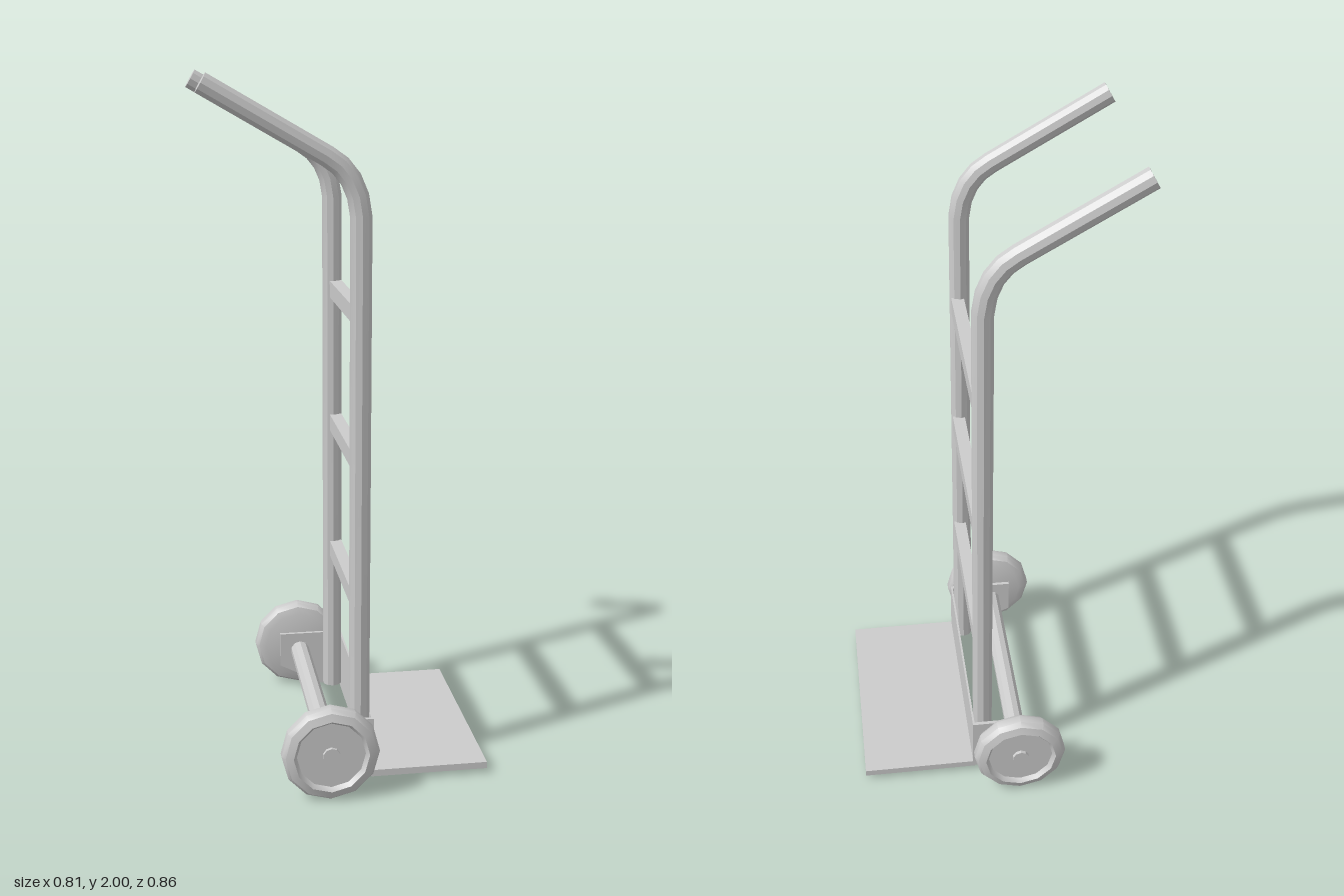
import * as THREE from 'three';
import { toCreasedNormals } from 'three/addons/utils/BufferGeometryUtils.js';

const mat = new THREE.MeshStandardMaterial({ color: 0xcccccc });

function add(parent, name, geometry, x = 0, y = 0, z = 0) {
  const mesh = new THREE.Mesh(toCreasedNormals(geometry, 0.6), mat);
  mesh.name = name;
  mesh.position.set(x, y, z);
  parent.add(mesh);
  return mesh;
}

// Extrude an outline in the xy plane, centred on z = 0
function plate(points, depth) {
  const shape = new THREE.Shape(points.map(([x, y]) => new THREE.Vector2(x, y)));
  return new THREE.ExtrudeGeometry(shape, { depth, bevelEnabled: false }).translate(0, 0, -depth / 2);
}

// Mitred, capped pipe along a bent path in the xy plane
function pipe(path, radius, sides) {
  const pts = path.map(([x, y]) => new THREE.Vector2(x, y));
  const pos = [], index = [];
  pts.forEach((p, i) => {
    const a = p.clone().sub(pts[Math.max(i - 1, 0)]).normalize();
    const b = pts[Math.min(i + 1, pts.length - 1)].clone().sub(p).normalize();
    const t = a.clone().add(b).normalize();
    const miter = 1 / Math.max(t.dot(a), t.dot(b));
    for (let k = 0; k < sides; k++) {
      const ang = (k / sides) * Math.PI * 2;
      const n = Math.sin(ang) * radius * miter;
      pos.push(p.x + t.y * n, p.y - t.x * n, Math.cos(ang) * radius);
    }
  });
  for (let i = 0; i < pts.length - 1; i++) {
    for (let k = 0; k < sides; k++) {
      const a = i * sides + k, b = i * sides + ((k + 1) % sides);
      index.push(a, b, b + sides, a, b + sides, a + sides);
    }
  }
  const last = (pts.length - 1) * sides;
  for (let k = 1; k < sides - 1; k++) {
    index.push(0, k + 1, k, last, last + k, last + k + 1);
  }
  const g = new THREE.BufferGeometry();
  g.setAttribute('position', new THREE.Float32BufferAttribute(pos, 3));
  g.setIndex(index);
  return g;
}

export function createModel() {
  const group = new THREE.Group();
  group.name = 'handTruck';
  const axleX = -0.07, axleY = 0.142;

  const railPath = [
    [0.031, 0.04], [0.031, 1.63], [0.022, 1.685], [0.003, 1.73],
    [-0.025, 1.765], [-0.06, 1.79], [-0.387, 1.978],
  ];
  // Tyre and hub: flat inner face, rounded tread, recessed outer disc
  const wheelProfile = [
    [0, -0.035], [0.108, -0.035], [0.13, -0.027], [0.14, -0.012], [0.14, 0.012],
    [0.13, 0.027], [0.108, 0.035], [0.098, 0.022], [0, 0.022],
  ].map(([r, h]) => new THREE.Vector2(r, h));
  const flange = [[-0.135, 0.2], [-0.135, 0.09], [0, 0.02], [0.06, 0.02], [0.06, 0.2]];

  for (const s of [1, -1]) {
    const side = s > 0 ? 'front' : 'back';
    add(group, side + 'Rail', pipe(railPath, 0.03, 10), 0, 0, s * 0.274);
    add(group, side + 'AxleBracket', plate(flange, 0.011), 0, 0, s * 0.32);

    const wheel = new THREE.Group();
    wheel.name = side + 'Wheel';
    wheel.position.set(axleX, axleY, s * 0.394);
    wheel.rotation.x = (s * Math.PI) / 2;
    add(wheel, 'tyre', new THREE.LatheGeometry(wheelProfile, 12));
    add(wheel, 'hubCap', new THREE.CylinderGeometry(0.025, 0.025, 0.012, 10), 0, 0.026, 0);
    group.add(wheel);
  }

  // Axle between the wheels
  add(group, 'axle', new THREE.CylinderGeometry(0.03, 0.03, 0.75, 10).rotateX(Math.PI / 2), axleX, axleY, 0);

  // Cross bars between the rails
  for (const y of [0.516, 0.933, 1.353]) {
    add(group, 'crossBar', new THREE.BoxGeometry(0.037, 0.05, 0.51), 0.039, y, 0);
  }

  // Bent toe plate: low upright back and flat load ledge
  const toe = [[0.06, 0.017], [0.404, 0.017], [0.404, 0.037], [0.066, 0.037], [0.066, 0.2], [0.06, 0.2]];
  add(group, 'toePlate', plate(toe, 0.65));

  return group;
}
